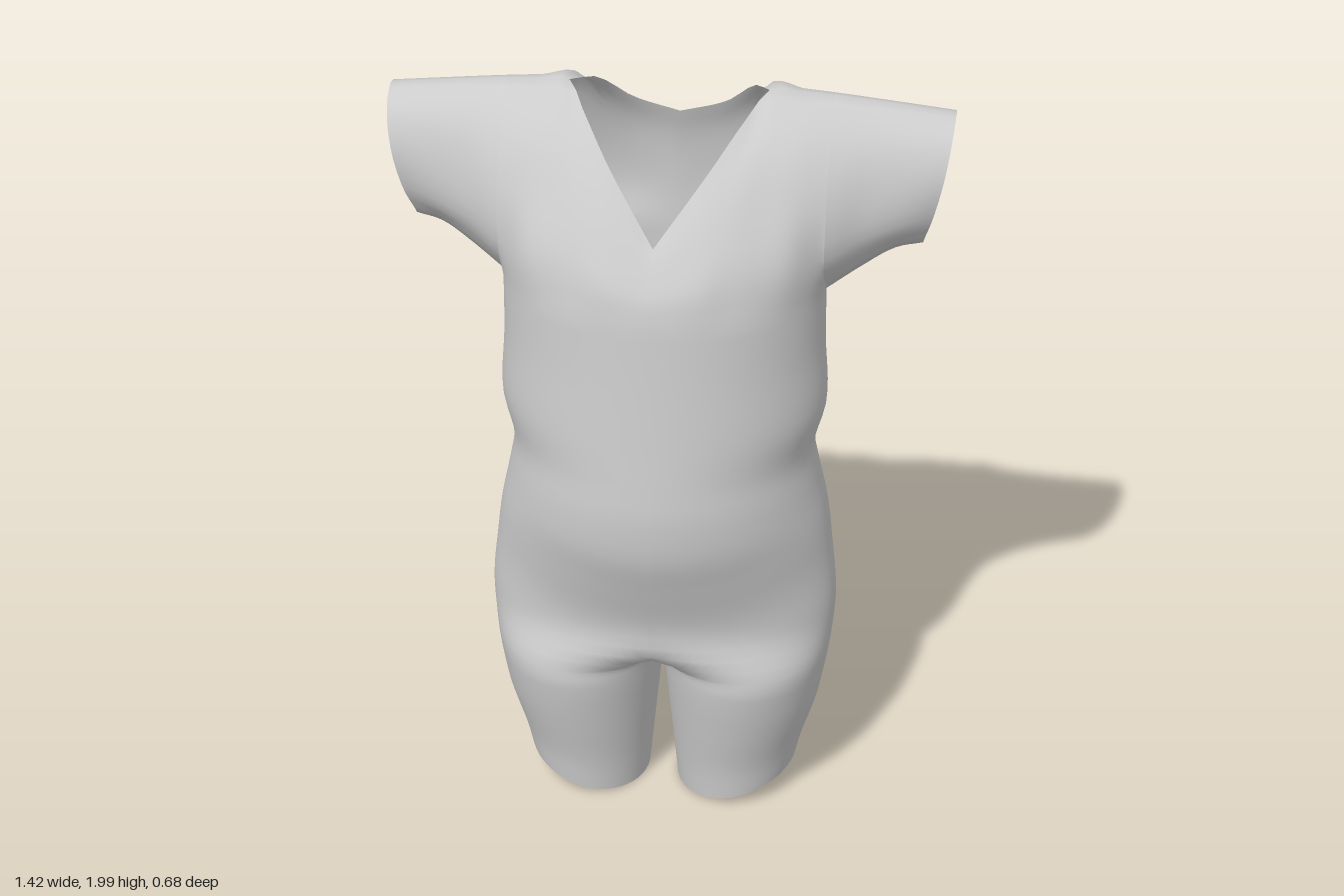
import * as THREE from 'three';
import { mergeGeometries, mergeVertices } from 'three/addons/utils/BufferGeometryUtils.js';

const N = 24;                                        // columns per quarter of the body
const CHEST_Y = 1.5, CHEST_W = 0.41, CUFF_X = 0.71, CROTCH_Y = 0.42;
const NECK = CHEST_W * Math.cos(14 * Math.PI / 48);  // half width of the neck opening
const clamp = THREE.MathUtils.clamp;

// Body: height, half width, front depth, back depth, front and back roundness (lower is boxier)
const BODY = [
  [0, 0.365, 0.178, 0.172, 1, 1], [0.1, 0.382, 0.19, 0.18, 1, 1],
  [0.25, 0.415, 0.222, 0.19, 1, 0.95], [0.4, 0.442, 0.25, 0.21, 1, 0.9],
  [0.5, 0.455, 0.253, 0.25, 1, 0.85], [0.6, 0.46, 0.253, 0.30, 1, 0.8],
  [0.74, 0.445, 0.297, 0.33, 1, 0.75], [0.85, 0.43, 0.332, 0.315, 1.05, 0.75],
  [0.97, 0.405, 0.342, 0.303, 1.05, 0.8], [1.06, 0.392, 0.335, 0.308, 1.05, 0.85],
  [1.18, 0.42, 0.322, 0.32, 1.08, 0.9], [1.35, 0.412, 0.305, 0.33, 1.08, 0.9],
  [CHEST_Y, CHEST_W, 0.292, 0.333, 1.05, 0.85],
];
// Chest, shoulder and sleeve sections: x, then y,z of four points rising to the neckline or shoulder
const FRONT = [
  [0, 1.56, 0.28, 1.61, 0.255, 1.65, 0.23, 1.68, 0.205],
  [0.12, 1.59, 0.262, 1.68, 0.215, 1.76, 0.165, 1.84, 0.105],
  [0.2, 1.62, 0.225, 1.74, 0.165, 1.85, 0.09, 1.945, 0.0],
  [NECK, 1.63, 0.203, 1.76, 0.135, 1.9, 0.04, 1.99, -0.09],
  [0.33, 1.62, 0.165, 1.76, 0.108, 1.9, 0.025, 1.985, -0.1],
  [CHEST_W, 1.6, 0.085, 1.75, 0.075, 1.9, 0.002, 1.98, -0.105],
  [0.52, 1.64, 0.028, 1.77, 0.026, 1.9, -0.02, 1.968, -0.11],
  [CUFF_X, 1.7, -0.015, 1.82, -0.004, 1.91, -0.045, 1.945, -0.12],
];
const BACK = [
  [0, 1.6, -0.333, 1.7, -0.328, 1.77, -0.317, 1.83, -0.3],
  [0.12, 1.6, -0.342, 1.72, -0.334, 1.8, -0.317, 1.87, -0.285],
  [0.2, 1.6, -0.33, 1.74, -0.322, 1.87, -0.28, 1.95, -0.21],
  [NECK, 1.6, -0.31, 1.76, -0.305, 1.945, -0.23, 1.99, -0.09],
  [0.33, 1.6, -0.26, 1.77, -0.272, 1.925, -0.22, 1.985, -0.1],
  [CHEST_W, 1.59, -0.16, 1.76, -0.25, 1.91, -0.215, 1.98, -0.105],
  [0.52, 1.64, -0.14, 1.77, -0.24, 1.905, -0.21, 1.968, -0.11],
  [CUFF_X, 1.69, -0.13, 1.79, -0.225, 1.9, -0.205, 1.945, -0.12],
];
// Underarm seam: x, y, z
const UNDERARM = [[CHEST_W, CHEST_Y, 0], [0.52, 1.555, -0.03], [0.62, 1.6, -0.05], [CUFF_X, 1.615, -0.06]];

// Smooth interpolation of table rows keyed by their first value
function sample(table, key) {
  const last = table.length - 1;
  let i = 0;
  while (i < last - 1 && key > table[i + 1][0]) i++;
  const slope = (a, b, k) => (table[b][k] - table[a][k]) / (table[b][0] - table[a][0]);
  const h = table[i + 1][0] - table[i][0], t = clamp((key - table[i][0]) / h, 0, 1);
  return table[i].slice(1).map((p, n) => {
    const k = n + 1, q = table[i + 1][k];
    const m0 = slope(Math.max(i - 1, 0), i + 1, k) * h, m1 = slope(i, Math.min(i + 2, last), k) * h;
    return p + t * t * (3 - 2 * t) * (q - p) + t * (1 - t) ** 2 * m0 - t * t * (1 - t) * m1;
  });
}

// Depth of the body at a sine around its ring: front positive, back negative
function bodyDepth(y, sin) {
  const [, front, back, frontPow, backPow] = sample(BODY, y);
  return sin > 0 ? front * sin ** frontPow : -back * Math.abs(sin) ** backPow;
}

// Surface through rows of points; mirrored for the other half; skips quads where keep(i, j) is false
function surface(rows, mirror, keep = () => true) {
  const cols = rows[0].length, index = [], pos = [];
  rows.forEach(r => r.forEach(p => pos.push(mirror ? -p.x : p.x, p.y, p.z)));
  for (let i = 0; i < rows.length - 1; i++) for (let j = 0; j < cols - 1; j++) {
    if (!keep(i, j)) continue;
    const a = i * cols + j, b = a + 1, c = a + cols, d = c + 1;
    index.push(...(mirror ? [a, b, c, b, d, c] : [a, c, b, b, c, d]));
  }
  const g = new THREE.BufferGeometry();
  g.setAttribute('position', new THREE.Float32BufferAttribute(pos, 3));
  g.setIndex(index);
  return g;
}

// Half of trunk and one leg: half rings that close into full leg rings below the crotch
function bodyRows() {
  const rows = [];
  for (let i = 0; i <= 50; i++) {
    const y = CHEST_Y - i * 0.03, [w] = sample(BODY, y);
    const split = clamp((0.57 - y) / (0.57 - CROTCH_Y), 0, 1) ** 2;
    const limit = Math.PI / 2 * (1 + split);
    const inner = 0.04 * clamp((CROTCH_Y - y) / CROTCH_Y, 0, 1);
    const r = (w - inner) / (1 - Math.cos(limit)), row = [];
    // The belly fold and the seat curve up towards the hips
    const lift = 0.1 * Math.max(0, 1 - ((y - 0.78) / 0.32) ** 2) ** 2;
    for (let j = 0; j <= 2 * N; j++) {
      const a = limit * (1 - j / N), x = w - r + r * Math.cos(a);
      const q = clamp((x - inner) / (w - inner), 0, 1);
      const rise = 0.08 * q ** 1.7 * Math.max(0, 1 - y / 0.3);   // slanted hem
      row.push(new THREE.Vector3(x, y + rise, bodyDepth(y - lift * q * q, Math.sin(a))));
    }
    rows.push(row);
  }
  return rows;
}

// Half of chest, shoulder and sleeve: arches from front to back, split at the neck opening
const ROWS = 14;
function yokeKeys() {
  const keys = [];
  for (let j = 0; j <= N; j++) keys.push(CHEST_W * Math.sin(j / N * Math.PI / 2));
  for (let j = 1; j <= 14; j++) keys.push(CHEST_W + (CUFF_X - CHEST_W) * j / 14);
  return keys;
}
function yokeColumn(key) {
  const pairs = v => [0, 2, 4, 6].map(k => new THREE.Vector3(key, v[k], v[k + 1]));
  const front = pairs(sample(FRONT, key)), back = pairs(sample(BACK, key));
  if (key < CHEST_W - 1e-6) {
    const s = Math.sqrt(1 - (key / CHEST_W) ** 2);
    front.unshift(new THREE.Vector3(key, CHEST_Y, bodyDepth(CHEST_Y, s)));
    back.unshift(new THREE.Vector3(key, CHEST_Y, bodyDepth(CHEST_Y, -s)));
  } else {
    const seam = new THREE.Vector3(key, ...sample(UNDERARM, key));
    front.unshift(seam);
    back.unshift(seam);
  }
  back.reverse();
  const column = [], steps = [...Array(ROWS + 1).keys()].map(k => k / ROWS);
  if (key < NECK - 1e-6) {
    for (const side of [front, back]) {
      const curve = new THREE.CatmullRomCurve3(side);
      steps.forEach(t => column.push(curve.getPoint(t)));
    }
  } else {
    const curve = new THREE.CatmullRomCurve3([...front, ...back.slice(1)]);
    for (const start of [0, 0.5]) steps.forEach(t => column.push(curve.getPoint(start + t / 2)));
  }
  // Cuff leans inward towards the underarm
  const lean = clamp((key - CHEST_W) / (CUFF_X - CHEST_W), 0, 1);
  column.forEach(p => {
    const drop = clamp((1.945 - p.y) / 0.325, 0, 1);
    p.x -= lean * (0.03 * drop + 0.035 * drop * drop);
  });
  return column;
}

export function createModel() {
  const body = bodyRows(), yoke = yokeKeys().map(yokeColumn);
  const parts = [];
  for (const mirror of [false, true]) {
    parts.push(surface(body, mirror));
    parts.push(surface(yoke, mirror, (i, j) => j !== ROWS));
  }
  // Weld the halves so the cloth shades smoothly
  const geometry = mergeVertices(mergeGeometries(parts), 1e-4);
  geometry.computeVertexNormals();
  const suit = new THREE.Mesh(geometry,
    new THREE.MeshStandardMaterial({ color: 0xcccccc, side: THREE.DoubleSide }));
  suit.name = 'shortSleevedBodysuit';
  const group = new THREE.Group();
  group.name = 'bodysuit';
  group.add(suit);
  return group;
}
